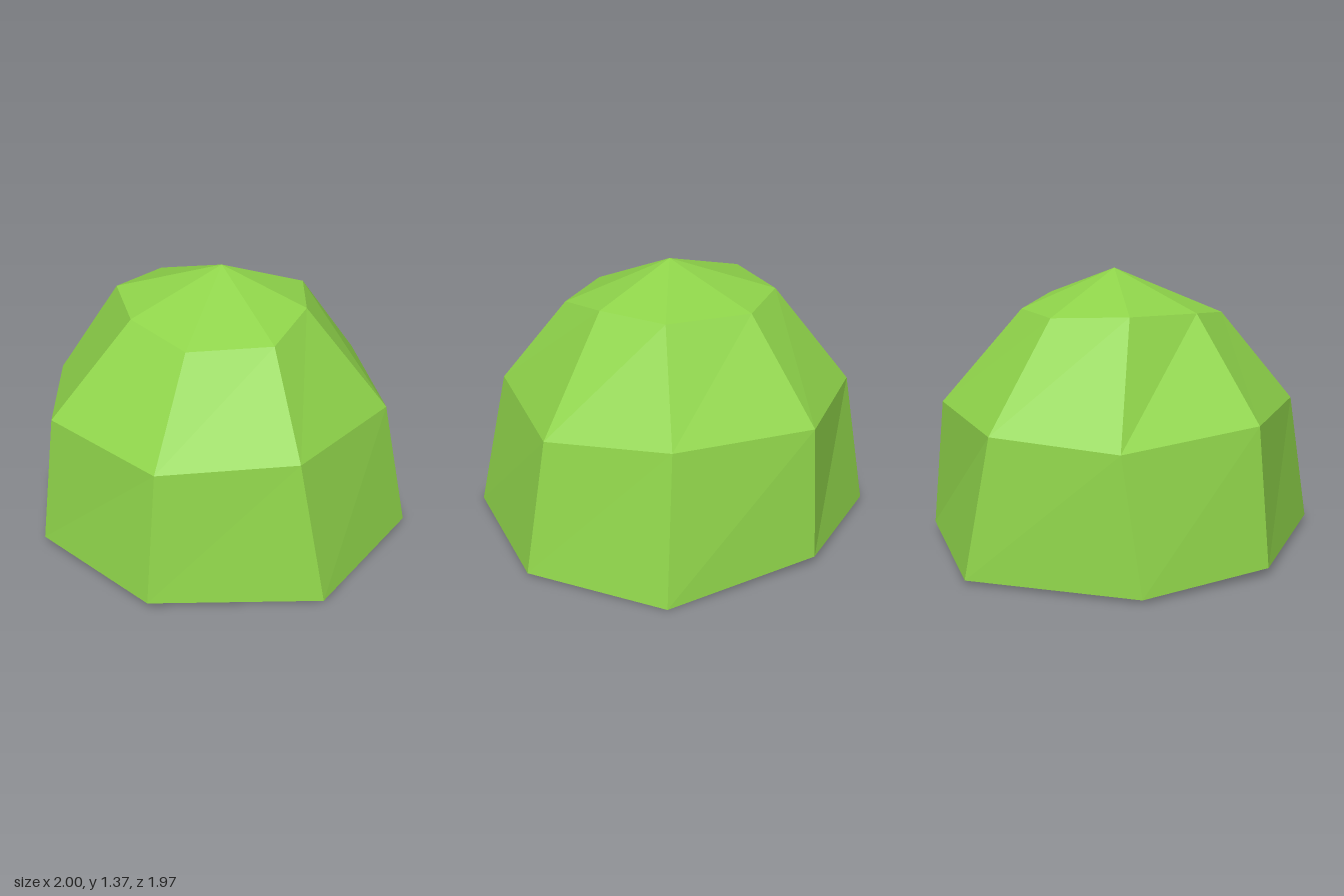
import * as THREE from 'three';

// Cross-sections of the dome: eight [x, y, z] corners each, from the front round by the left
const RIM = [
  [-0.08, 0.04, 0.98], [0.71, 0.0, 0.69], [1.0, 0.02, -0.07], [0.71, 0.0, -0.73],
  [-0.05, 0.05, -0.99], [-0.73, 0.02, -0.79], [-1.0, 0.02, 0.01], [-0.76, 0.045, 0.63],
];
const WAIST = [
  [-0.06, 0.69, 0.88], [0.56, 0.7, 0.63], [0.86, 0.68, -0.07], [0.59, 0.73, -0.64],
  [-0.08, 0.71, -0.92], [-0.7, 0.7, -0.66], [-0.92, 0.67, -0.08], [-0.69, 0.72, 0.58],
];
const SHOULDER = [
  [-0.02, 1.14, 0.51], [0.36, 1.14, 0.34], [0.44, 1.2, -0.01], [0.35, 1.2, -0.36],
  [-0.08, 1.18, -0.51], [-0.43, 1.19, -0.37], [-0.55, 1.21, -0.01], [-0.35, 1.19, 0.33],
];
const APEX = [0, 1.37, -0.04];

// Faceted band between two rings; a single-point upper ring makes a cap
function band(lower, upper) {
  const n = lower.length;
  const points = [];
  for (let i = 0; i < n; i++) {
    const j = (i + 1) % n;
    if (upper.length === 1) {
      points.push(...lower[i], ...lower[j], ...upper[0]);
    } else {
      points.push(...lower[i], ...lower[j], ...upper[j]);
      points.push(...lower[i], ...upper[j], ...upper[i]);
    }
  }
  const geometry = new THREE.BufferGeometry();
  geometry.setAttribute('position', new THREE.Float32BufferAttribute(points, 3));
  geometry.computeVertexNormals();
  return geometry;
}

export function createModel() {
  const leafGreen = new THREE.MeshStandardMaterial({
    color: 0x8fd44a, flatShading: true, side: THREE.DoubleSide,
  });
  leafGreen.name = 'leaf green';

  const group = new THREE.Group();
  group.name = 'bush';
  const add = (name, lower, upper) => {
    const mesh = new THREE.Mesh(band(lower, upper), leafGreen);
    mesh.name = name;
    group.add(mesh);
  };

  // Hollow shell, open underneath
  add('lowerWall', RIM, WAIST);
  add('upperWall', WAIST, SHOULDER);
  add('crown', SHOULDER, [APEX]);
  return group;
}
